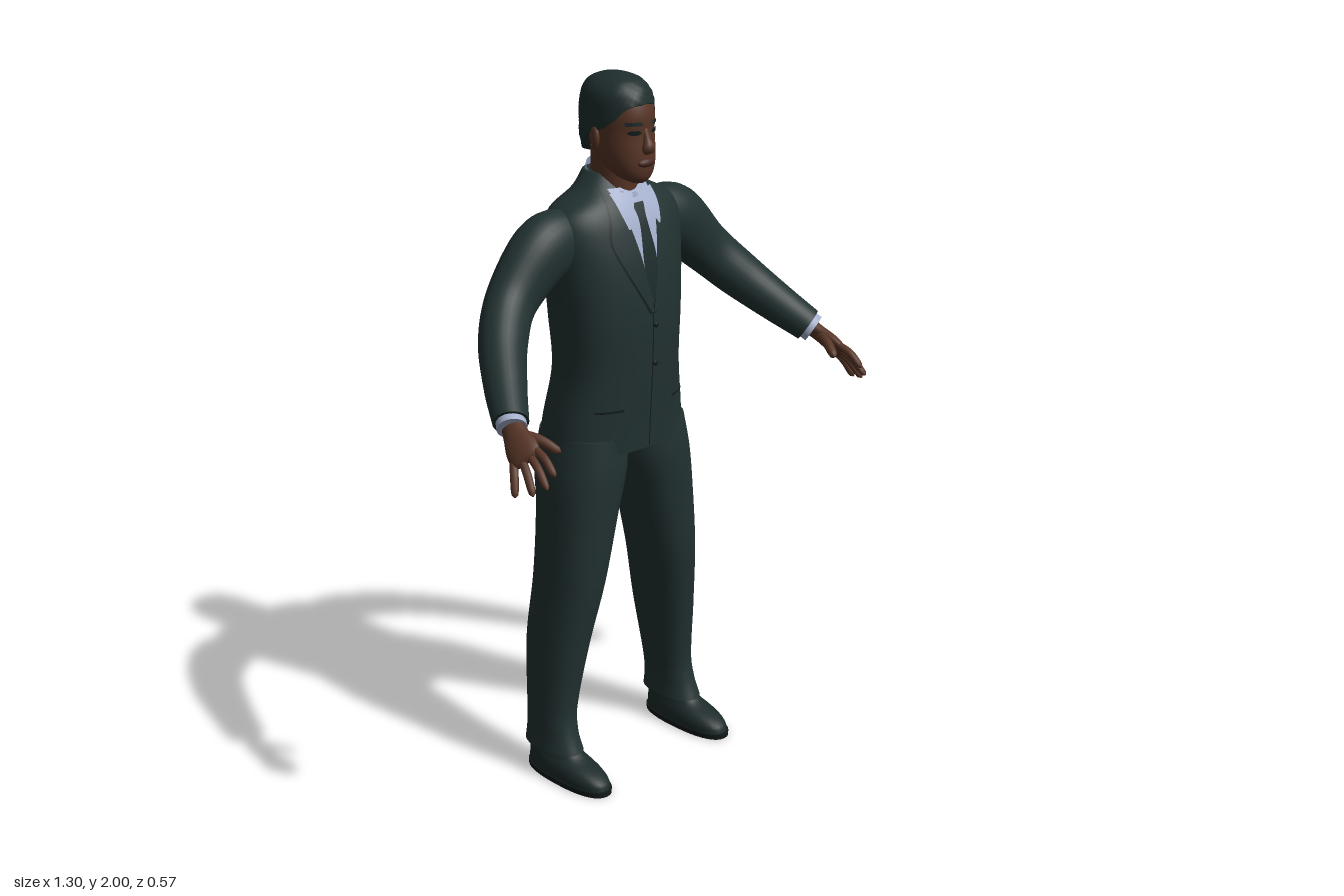
import * as THREE from 'three';

const mat = (name, color, double) => {
  const m = new THREE.MeshStandardMaterial({ color });
  m.name = name;
  if (double) m.side = THREE.DoubleSide;
  return m;
};

// Smooth interpolation through rows whose first entry is the ascending parameter
function sample(keys, k) {
  const n = keys.length;
  let i = 0;
  while (i < n - 2 && k > keys[i + 1][0]) i++;
  const a = keys[i], b = keys[i + 1], p = keys[Math.max(i - 1, 0)], q = keys[Math.min(i + 2, n - 1)];
  const h = b[0] - a[0], t = Math.min(Math.max((k - a[0]) / h, 0), 1), t2 = t * t, t3 = t2 * t;
  return a.slice(1).map((v, c) => {
    const m0 = (b[c + 1] - p[c + 1]) / (b[0] - p[0]), m1 = (q[c + 1] - v) / (q[0] - a[0]);
    return v * (2 * t3 - 3 * t2 + 1) + h * m0 * (t3 - 2 * t2 + t) + b[c + 1] * (3 * t2 - 2 * t3) + h * m1 * (t3 - t2);
  });
}

// Skin over closed rings of points, with flat end caps
function loft(rings, caps = true) {
  const n = rings[0].length, pos = [], idx = [];
  rings.forEach(r => r.forEach(p => pos.push(...p)));
  for (let i = 0; i < rings.length - 1; i++) for (let j = 0; j < n; j++) {
    const a = i * n + j, b = i * n + (j + 1) % n;
    idx.push(a, b, b + n, a, b + n, a + n);
  }
  if (caps) [rings[0], rings[rings.length - 1]].forEach((r, e) => {
    const s = pos.length / 3;
    r.forEach(p => pos.push(...p));
    pos.push(...[0, 1, 2].map(c => r.reduce((t, p) => t + p[c], 0) / n));
    for (let j = 0; j < n; j++) {
      const k = (j + 1) % n;
      idx.push(s + n, s + (e ? j : k), s + (e ? k : j));
    }
  });
  return finish(pos, idx);
}

function finish(pos, idx) {
  const g = new THREE.BufferGeometry();
  g.setAttribute('position', new THREE.Float32BufferAttribute(pos, 3));
  g.setIndex(idx);
  g.computeVertexNormals();
  return g;
}

const sp = (v, p) => Math.sign(v) * Math.abs(v) ** (2 / p);
const angles = n => Array.from({ length: n }, (_, j) => j / n * Math.PI * 2);

// Upright body from rows [y, cx, cz, rx, rz]
function body(keys, pow = 2, steps = 40, n = 40) {
  const y0 = keys[0][0], y1 = keys[keys.length - 1][0], rings = [];
  for (let i = 0; i <= steps; i++) {
    const y = y0 + (y1 - y0) * i / steps, [cx, cz, rx, rz] = sample(keys, y);
    rings.push(angles(n).map(a => [cx + rx * sp(Math.sin(a), pow), y, cz + rz * sp(Math.cos(a), pow)]));
  }
  return loft(rings);
}

// Limb from rows [t, x, y, z, ru, rv]; rv lies along ref
function limb(keys, ref = [0, 0, 1], steps = 24, n = 20) {
  const t1 = keys[keys.length - 1][0], R = new THREE.Vector3(...ref), rings = [];
  const at = t => new THREE.Vector3(...sample(keys, t).slice(0, 3));
  for (let i = 0; i <= steps; i++) {
    const t = t1 * i / steps, [, , , ru, rv] = sample(keys, t), c = at(t);
    const T = at(Math.min(t + 0.01, t1)).sub(at(Math.max(t - 0.01, 0))).normalize();
    const U = T.clone().cross(R).normalize(), V = U.clone().cross(T);
    rings.push(angles(n).map(a => c.clone().addScaledVector(U, ru * Math.sin(a)).addScaledVector(V, rv * Math.cos(a)).toArray()));
  }
  return loft(rings);
}

// Thin plate lying on an upright body, from rows [y, xLeft, xRight]; side 1 front, -1 back
function plate(keys, pow, rows, off, side = 1) {
  const N = 20, M = 8, pos = [], idx = [], y0 = rows[0][0], y1 = rows[rows.length - 1][0];
  for (let i = 0; i <= N; i++) {
    const y = y0 + (y1 - y0) * i / N, [xa, xb] = sample(rows, y), [, cz, rx, rz] = sample(keys, y);
    for (let j = 0; j <= M; j++) {
      const x = xa + (xb - xa) * j / M;
      pos.push(x, y, cz + side * (off + rz * Math.max(0, 1 - Math.abs(x / rx) ** pow) ** (1 / pow)));
      if (i < N && j < M) {
        const a = i * (M + 1) + j, b = a + M + 1;
        idx.push(...(side > 0 ? [a, a + 1, b + 1, a, b + 1, b] : [a, b + 1, a + 1, a, b, b + 1]));
      }
    }
  }
  return finish(pos, idx);
}

function mirrored(g) {
  const m = g.clone().scale(-1, 1, 1), a = m.index.array;
  for (let i = 0; i < a.length; i += 3) [a[i], a[i + 1]] = [a[i + 1], a[i]];
  m.computeVertexNormals();
  return m;
}

export function createModel() {
  const root = new THREE.Group();
  root.name = 'manInSuit';
  const suit = mat('suitCloth', 0x223131), seam = mat('seamDark', 0x121a1a, true), skin = mat('skin', 0x573526);
  const shirt = mat('shirtCloth', 0xa3aecb, true), hair = mat('hair', 0x1f2d2d, true), tie = mat('tieCloth', 0x1c2a2b, true);
  const lips = mat('lips', 0x4a2822), shoe = mat('shoeLeather', 0x1d2a2a);
  const add = (name, g, m) => {
    const o = new THREE.Mesh(g, m);
    o.name = name;
    root.add(o);
  };
  const pair = (name, g, m) => { add(name + 'Left', g, m); add(name + 'Right', mirrored(g), m); };

  // Jacket
  const T = [[0.975, 0, -0.13, 0.222, 0.15], [1.05, 0, -0.125, 0.213, 0.148], [1.2, 0, -0.11, 0.188, 0.142],
    [1.35, 0, -0.113, 0.195, 0.148], [1.5, 0, -0.12, 0.21, 0.14], [1.6, 0, -0.125, 0.215, 0.12],
    [1.65, 0, -0.128, 0.19, 0.101], [1.69, 0, -0.13, 0.115, 0.078], [1.735, 0, -0.14, 0.068, 0.058]];
  const onJacket = (rows, off, side) => plate(T, 2.3, rows, off, side);
  add('jacket', body(T, 2.3, 60, 64), suit);
  add('jacketOpening', onJacket([[0.98, -0.002, 0.002], [1.39, -0.002, 0.002]], 0.003), seam);
  add('backVent', onJacket([[0.98, -0.003, 0.003], [1.17, -0.002, 0.002]], 0.003, -1), seam);
  pair('lapelEdge', onJacket([[1.365, 0, 0.012], [1.5, 0.022, 0.088], [1.57, 0.037, 0.116], [1.61, 0.046, 0.108], [1.7, 0.07, 0.088]], 0.004), seam);
  pair('lapel', onJacket([[1.37, 0, 0.009], [1.5, 0.024, 0.084], [1.57, 0.039, 0.112], [1.61, 0.048, 0.104], [1.7, 0.07, 0.086]], 0.008), suit);
  pair('pocketSeam', onJacket([[1.1, 0.09, 0.165], [1.106, 0.09, 0.165]], 0.003), seam);
  for (const y of [1.22, 1.33]) {
    const b = new THREE.SphereGeometry(0.008, 12, 8).scale(1, 1, 0.5);
    const [, cz, , rz] = sample(T, y);
    add('jacketButton', b.translate(0.012, y, cz + rz + 0.002), seam);
  }

  // Shirt front, collar and tie
  add('shirtFront', onJacket([[1.42, -0.001, 0.001], [1.5, -0.024, 0.024], [1.6, -0.052, 0.052], [1.7, -0.075, 0.075]], 0.006), shirt);
  add('tie', onJacket([[1.41, -0.006, 0.006], [1.5, -0.024, 0.024], [1.62, -0.014, 0.014], [1.66, -0.021, 0.021]], 0.0095), tie);
  pair('collarWing', onJacket([[1.6, 0.052, 0.058], [1.645, 0.024, 0.07], [1.69, 0.006, 0.075]], 0.014), shirt);
  const band = [[1.675, 0.045, 0.08, 0.088], [1.722, 0.036, 0.068, 0.079]].map(([y, tilt, rx, rz]) =>
    angles(36).map(a => [rx * Math.sin(a), y - tilt * Math.cos(a), -0.115 + rz * Math.cos(a)]));
  add('shirtCollar', loft(band, false), shirt);

  // Arms, cuffs and hands
  pair('sleeve', limb([[0, 0.16, 1.572, -0.13, 0.085, 0.07], [1, 0.245, 1.55, -0.132, 0.093, 0.077], [2, 0.36, 1.447, -0.122, 0.075, 0.066],
    [3, 0.44, 1.362, -0.068, 0.068, 0.063], [4, 0.507, 1.283, 0.015, 0.058, 0.056], [5, 0.562, 1.217, 0.098, 0.049, 0.046]], [0, 0, 1], 40, 28), suit);
  pair('cuff', limb([[0, 0.555, 1.225, 0.088, 0.04, 0.038], [1, 0.57, 1.207, 0.112, 0.041, 0.039]], [0, 0, 1], 2, 24), shirt);
  const wide = new THREE.Vector3(0.5, -0.5, -0.7).normalize();
  pair('palm', limb([[0, 0.557, 1.222, 0.092, 0.024, 0.03], [1, 0.574, 1.198, 0.128, 0.021, 0.034], [2, 0.588, 1.172, 0.168, 0.02, 0.045],
    [3, 0.596, 1.153, 0.196, 0.014, 0.042], [3.3, 0.598, 1.149, 0.202, 0.005, 0.034]], wide.toArray(), 16, 20), skin);
  const finger = (a, b, r) => {
    const at = (f, lift = 0) => a.map((v, c) => v + (b[c] - v) * f + (c === 1 ? lift : 0));
    return limb([[0, ...at(0), r, r], [1, ...at(0.5, 0.008), r, r], [1.85, ...at(0.92), r * 0.8, r * 0.8], [2, ...at(1), r * 0.2, r * 0.2]], wide.toArray(), 14, 10);
  };
  [['index', -0.034, [0.582, 1.13, 0.285]], ['middle', -0.011, [0.605, 1.1, 0.282]],
    ['ring', 0.012, [0.626, 1.08, 0.252]], ['little', 0.034, [0.645, 1.068, 0.205]]].forEach(([name, o, tip]) =>
    pair(name + 'Finger', finger(new THREE.Vector3(0.592, 1.16, 0.185).addScaledVector(wide, o).toArray(), tip, 0.011), skin));
  pair('thumb', finger([0.568, 1.198, 0.135], [0.52, 1.165, 0.238], 0.014), skin);

  // Trousers and shoes
  pair('trouserLeg', body([[0.085, 0.238, -0.123, 0.058, 0.102], [0.13, 0.237, -0.13, 0.053, 0.09], [0.2, 0.232, -0.137, 0.056, 0.083],
    [0.4, 0.21, -0.133, 0.07, 0.103], [0.6, 0.178, -0.115, 0.083, 0.115], [0.8, 0.145, -0.115, 0.1, 0.125],
    [0.92, 0.122, -0.125, 0.113, 0.138], [1.02, 0.11, -0.125, 0.105, 0.13]], 2.2, 50, 36), suit);
  pair('shoe', body([[0.014, 0.239, -0.058, 0.056, 0.153], [0.035, 0.239, -0.062, 0.057, 0.148], [0.055, 0.239, -0.078, 0.053, 0.13],
    [0.075, 0.238, -0.108, 0.046, 0.1], [0.12, 0.237, -0.13, 0.042, 0.076]], 2.4, 16, 36), shoe);
  pair('sole', body([[0, 0.239, -0.058, 0.058, 0.157], [0.016, 0.239, -0.058, 0.059, 0.158]], 2.4, 1, 36), seam);

  // Head and neck
  add('neck', body([[1.62, 0, -0.12, 0.064, 0.07], [1.7, 0, -0.113, 0.06, 0.069], [1.8, 0, -0.108, 0.062, 0.07]], 2, 10, 32), skin);
  const H = [[1.716, 0, -0.022, 0.018, 0.018], [1.73, 0, -0.035, 0.043, 0.044], [1.76, 0, -0.057, 0.064, 0.073], [1.8, 0, -0.075, 0.075, 0.09],
    [1.85, 0, -0.088, 0.079, 0.099], [1.9, 0, -0.092, 0.08, 0.104], [1.95, 0, -0.098, 0.072, 0.09], [1.98, 0, -0.1, 0.045, 0.055]];
  add('head', body(H, 2.1, 40, 44), skin);
  add('nose', limb([[0, 0, 1.868, 0.002, 0.009, 0.008], [1, 0, 1.835, 0.012, 0.011, 0.012], [2, 0, 1.812, 0.019, 0.019, 0.016],
    [2.5, 0, 1.8, 0.01, 0.013, 0.008]], [0, 0, 1], 14, 16), skin);
  add('lips', new THREE.SphereGeometry(0.03, 20, 10).scale(1, 0.42, 0.45).translate(0, 1.773, 0.009), lips);
  pair('eyebrow', plate(H, 2.1, [[1.874, 0.016, 0.056], [1.884, 0.02, 0.058]], 0.004), hair);
  pair('eye', plate(H, 2.1, [[1.849, 0.026, 0.044], [1.855, 0.018, 0.052], [1.861, 0.026, 0.046]], 0.003), seam);
  pair('ear', new THREE.SphereGeometry(0.03, 16, 12).scale(0.35, 1.05, 0.65).rotateY(0.3).translate(0.081, 1.835, -0.1), skin);

  // Short hair with a hairline that drops from brow to nape
  const K = [[1.75, 0, -0.125, 0.06, 0.072], [1.8, 0, -0.112, 0.075, 0.098], [1.85, 0, -0.104, 0.084, 0.11], [1.9, 0, -0.1, 0.086, 0.112],
    [1.95, 0, -0.102, 0.08, 0.102], [1.98, 0, -0.104, 0.06, 0.077], [1.993, 0, -0.105, 0.035, 0.046], [2, 0, -0.105, 0.006, 0.008]];
  const line = [[0, 1.928], [0.6, 1.92], [1, 1.885], [1.4, 1.858], [1.8, 1.84], [2.3, 1.795], [3.15, 1.77]];
  const rings = [];
  for (let i = 0; i <= 36; i++) rings.push(angles(56).map(a => {
    const low = sample(line, Math.min(a, Math.PI * 2 - a))[0], f = 1 - (1 - i / 36) ** 1.5, y = low + (2 - low) * f;
    const [, cz, rx, rz] = sample(K, y), bump = 1 + 0.018 * Math.sin(a * 11 + y * 90) * Math.sin(y * 170 + a * 4);
    return [rx * bump * sp(Math.sin(a), 2.1), y, cz + rz * bump * sp(Math.cos(a), 2.1)];
  }));
  add('hair', loft(rings), hair);
  return root;
}
